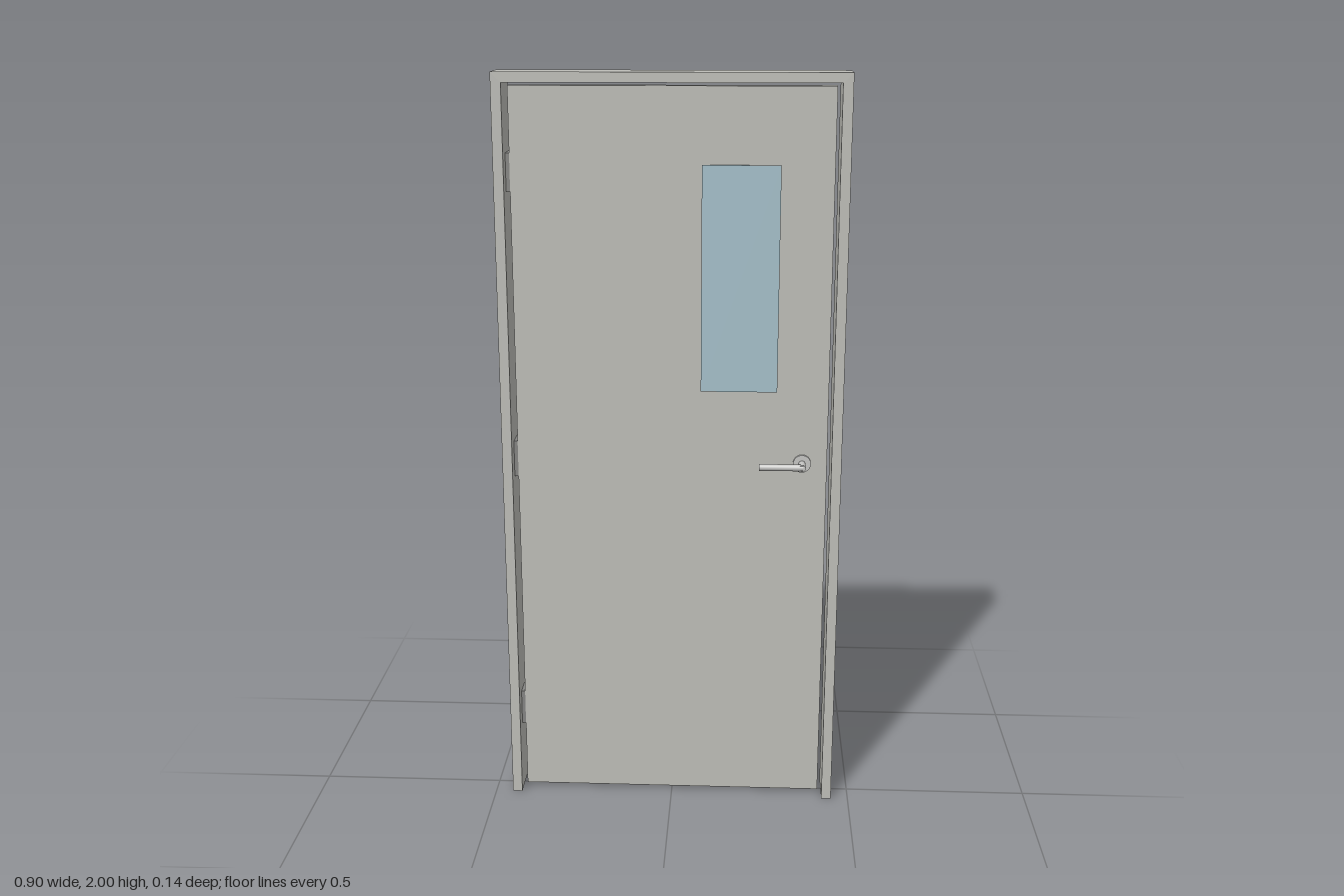
import * as THREE from 'three';

const paint = new THREE.MeshStandardMaterial({ name: 'grey paint', color: 0xbebeb8 });
const glass = new THREE.MeshStandardMaterial({ name: 'pale blue glass', color: 0xa5c0ca });
const steel = new THREE.MeshStandardMaterial({ name: 'brushed steel', color: 0xc6c6c4 });
const hingeMetal = new THREE.MeshStandardMaterial({ name: 'dark hinge metal', color: 0x858583 });

// Box given by its minimum and maximum corners
function box(name, material, [x0, y0, z0], [x1, y1, z1]) {
  const mesh = new THREE.Mesh(new THREE.BoxGeometry(x1 - x0, y1 - y0, z1 - z0), material);
  mesh.name = name;
  mesh.position.set((x0 + x1) / 2, (y0 + y1) / 2, (z0 + z1) / 2);
  return mesh;
}

function cylinder(name, radius, length, axis) {
  const geometry = new THREE.CylinderGeometry(radius, radius, length, 24);
  if (axis === 'x') geometry.rotateZ(Math.PI / 2);
  else geometry.rotateX(Math.PI / 2);
  const mesh = new THREE.Mesh(geometry, steel);
  mesh.name = name;
  return mesh;
}

// Rosette, neck and lever, standing out from the door on the +z side
function createHandle() {
  const handle = new THREE.Group();
  const rosette = cylinder('rosette', 0.024, 0.007, 'z');
  rosette.position.set(0.349, 0.981, 0.0235);
  const neck = cylinder('neck', 0.009, 0.049, 'z');
  neck.position.set(0.349, 0.981, 0.0445);
  const lever = cylinder('lever', 0.009, 0.117, 'x');
  lever.position.set(0.2925, 0.981, 0.0625);
  handle.add(rosette, neck, lever);
  return handle;
}

export function createModel() {
  const model = new THREE.Group();
  model.name = 'door';

  // Frame: one piece open at the bottom
  const outer = 0.4525, inner = 0.426, head = 1.974, depth = 0.114;
  const outline = new THREE.Shape([
    [-outer, 0], [-inner, 0], [-inner, head], [inner, head],
    [inner, 0], [outer, 0], [outer, 2], [-outer, 2],
  ].map(([x, y]) => new THREE.Vector2(x, y)));
  const frame = new THREE.Mesh(
    new THREE.ExtrudeGeometry(outline, { depth, bevelEnabled: false }), paint);
  frame.name = 'frame';
  frame.position.z = -depth / 2;
  model.add(frame);

  // Door leaf with a narrow gap all round, and its window
  model.add(box('doorLeaf', paint, [-0.4155, 0.009, -0.02], [0.4155, 1.965, 0.02]));
  model.add(box('window', glass, [0.077, 1.177, -0.025], [0.279, 1.769, 0.025]));

  // Door closer on the back
  model.add(box('doorCloser', paint, [-0.127, 1.875, -0.07], [0.127, 1.935, -0.02]));

  // Hinges in the gap
  for (const y of [0.245, 0.982, 1.748]) {
    model.add(box('hinge', hingeMetal, [-0.426, y - 0.049, -0.04], [-0.415, y + 0.049, 0.018]));
  }

  // Handles on both faces
  const front = createHandle();
  front.name = 'frontHandle';
  const back = createHandle();
  back.name = 'backHandle';
  back.children.forEach((part) => { part.position.z *= -1; });
  model.add(front, back);

  return model;
}
